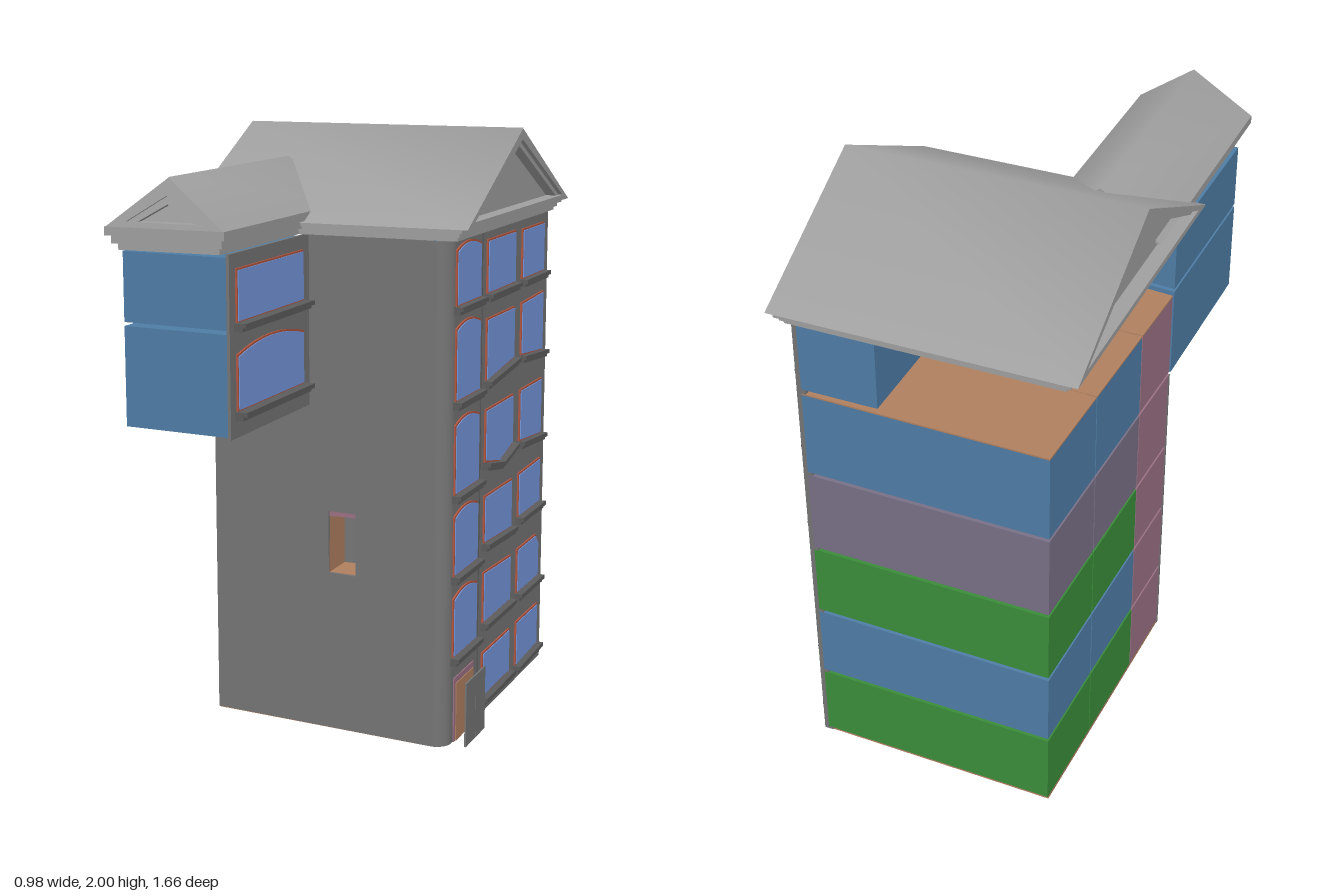
import * as THREE from 'three';

const mat = (name, color, side = THREE.FrontSide) => {
  const m = new THREE.MeshStandardMaterial({ color, side });
  m.name = name;
  return m;
};

export function createModel() {
  const M = {
    wall: mat('wallGrey', 0x757575),
    roof: mat('roofGrey', 0x9f9f9f),
    sill: mat('sillGrey', 0x5c5c5c),
    glass: mat('windowBlue', 0x7497dc),
    trim: mat('trimRed', 0xb0553f),
    blue: mat('roomBlue', 0x4f7da6),
    green: mat('roomGreen', 0x3a8c3a),
    purple: mat('roomPurple', 0x787086),
    pink: mat('shaftPink', 0x9a7084),
    floor: mat('floorBrown', 0xb08060),
  };
  const model = new THREE.Group();
  model.name = 'building';

  const add = (name, geo, m, parent = model) => {
    const mesh = new THREE.Mesh(geo, m);
    mesh.name = name;
    parent.add(mesh);
    return mesh;
  };
  // box given by its limits on each axis
  const box = (name, m, x0, x1, y0, y1, z0, z1) => {
    const g = new THREE.BoxGeometry(x1 - x0, y1 - y0, z1 - z0);
    g.translate((x0 + x1) / 2, (y0 + y1) / 2, (z0 + z1) / 2);
    return add(name, g, m);
  };
  const polygon = (pts) => new THREE.Shape(pts.map((p) => new THREE.Vector2(p[0], p[1])));
  const extrude = (shape, depth) => new THREE.ExtrudeGeometry(shape, { depth, bevelEnabled: false });
  // upright block on a plan of (x, z) corners
  const block = (name, m, plan, y0, y1) =>
    add(name, extrude(polygon(plan.map(([x, z]) => [x, -z])), y1 - y0).rotateX(-Math.PI / 2).translate(0, y0, 0), m);
  // outline in (u, y) with u = -z, pushed out along +x from x0
  const sidePlate = (name, m, pts, x0, depth) =>
    add(name, extrude(polygon(pts), depth).rotateY(Math.PI / 2).translate(x0, 0, 0), m);

  // the plan is slightly askew: front wall line and left wall line
  const frontZ = (x) => 0.24 + (x - 0.38) * 0.1;
  const leftX = (z) => -0.395 - 0.0366 * (z + 0.795);

  // ---- storeys: stacked room blocks around a floor-coloured core ----
  const levels = [
    [0.03, 0.285, M.green], [0.297, 0.552, M.blue], [0.564, 0.815, M.green],
    [0.827, 1.115, M.purple], [1.127, 1.42, M.blue],
  ];
  const shaftFront = (x) => frontZ(x) - 0.004;
  const plans = {
    rear: [[leftX(-0.795), -0.795], [0.415, -0.785], [0.415, -0.459], [leftX(-0.459), -0.459]],
    middle: [[leftX(-0.454), -0.454], [0.4, -0.454], [0.4, -0.102], [leftX(-0.102), -0.102]],
    shaftLeft: [[leftX(-0.097), -0.097], [-0.006, -0.097], [-0.006, shaftFront(-0.006)], [-0.43, shaftFront(-0.43)]],
    shaftRight: [[0.106, -0.097], [0.4, -0.097], [0.4, 0.18], [0.37, shaftFront(0.37)], [0.106, shaftFront(0.106)]],
  };
  for (const [y0, y1, m] of levels) {
    block('rearRoom', m, plans.rear, y0, y1);
    block('middleRoom', m, plans.middle, y0, y1);
    block('stairShaft', M.pink, plans.shaftLeft, y0, y1);
    block('stairShaft', M.pink, plans.shaftRight, y0, y1);
  }
  for (const plan of Object.values(plans)) block('topFloor', M.floor, plan, 1.42, 1.425);
  box('floorCore', M.floor, -0.375, 0.39, 0.03, 1.423, -0.765, 0.06);
  block('groundSlab', M.floor, [[leftX(-0.79), -0.79], [0.42, -0.78], [0.42, 0.19], [0.37, 0.235], [-0.43, frontZ(-0.43)]], 0.018, 0.03);
  box('topRoom', M.blue, 0.16, 0.415, 1.44, 1.68, -0.785, -0.06);

  // ---- front wall, stepped down below the wing, with a small deep opening ----
  const front = polygon([[-0.432, 0.02], [0.38, 0.02], [0.38, 1.68], [-0.075, 1.68], [-0.075, 1.115], [-0.432, 1.115]]);
  front.holes.push(polygon([[0, 0.56], [0, 0.77], [0.1, 0.77], [0.1, 0.56]]));
  const frontGeo = extrude(front, 0.01).translate(0, 0, -0.01);
  const fp = frontGeo.attributes.position;
  for (let i = 0; i < fp.count; i++) fp.setZ(i, fp.getZ(i) + frontZ(fp.getX(i)));
  frontGeo.computeVertexNormals();
  add('frontWall', frontGeo, M.wall);
  box('openingBack', M.wall, -0.006, 0.106, 0.55, 0.78, 0.06, 0.066);
  for (const x of [-0.006, 0.1]) box('openingLining', M.floor, x, x + 0.006, 0.56, 0.77, 0.06, 0.195);
  box('openingSill', M.floor, 0, 0.1, 0.554, 0.56, 0.06, 0.195);
  box('openingLintel', M.pink, 0, 0.1, 0.752, 0.776, 0.17, 0.196);
  add('roundedCorner', new THREE.CylinderGeometry(0.05, 0.05, 1.66, 12, 1, false, 0, Math.PI / 2)
    .translate(0.38, 0.85, 0.19), M.wall);
  box('facadeWall', M.wall, 0.4, 0.43, 0.02, 1.68, -0.785, 0.19);
  box('facadePilaster', M.sill, 0.43, 0.434, 0.02, 1.68, -0.06, -0.054);

  // ---- windows: red frame, glass and a sill following the lower edge ----
  // u0,u1: sides; tl,tr: top corners; bl,br: bottom corners; arch and vee: mid offsets
  const outline = (w, inset) => {
    const { u0, u1, tl, tr, bl, br, arch = 0, vee = 0, cut = 0 } = w;
    const bottom = [[u0 + inset, bl + inset], [(u0 + u1) / 2, (bl + br) / 2 - vee + inset], [u1 - inset, br + inset]];
    const top = [];
    for (let i = 0; i <= 8; i++) {
      const t = i / 8;
      const lift = arch * (1 - (2 * t - 1) ** 2);
      const y = tr + (tl - tr) * t + lift - (i === 0 ? cut : 0);
      top.push([u1 - inset + (u0 - u1 + 2 * inset) * t, y - inset]);
    }
    return { bottom, all: [...bottom, ...top] };
  };
  const addWindow = (w, x, reach) => {
    const { bottom, all } = outline(w, 0);
    sidePlate('windowFrame', M.trim, all, x, 0.006);
    sidePlate('windowGlass', M.glass, outline(w, 0.006).all, x + 0.003, 0.006);
    const e = 0.01;
    const upper = bottom.map(([u, y], i) => [u + (i - 1) * e, y + 0.002]);
    const lower = upper.map(([u, y]) => [u, y - 0.014]);
    const base = upper.map(([u, y]) => [u, y - 0.026]);
    sidePlate('windowSill', M.sill, [...lower, ...upper.slice().reverse()], x, reach);
    sidePlate('sillMoulding', M.sill, [...base, ...lower.slice().reverse()], x, reach * 0.7);
  };
  const column = (u0, u1, rows) => {
    for (const [tl, tr, bl, br, extra] of rows) addWindow({ u0, u1, tl, tr, bl, br, ...extra }, 0.43, 0.03);
  };
  const arched = { arch: 0.02 };
  column(-0.195, 0.037, [
    [1.65, 1.65, 1.47, 1.47, arched], [1.4, 1.4, 1.165, 1.165, arched],
    [1.09, 1.09, 0.86, 0.86, arched], [0.79, 0.79, 0.59, 0.59, arched],
    [0.515, 0.515, 0.315, 0.315, arched],
  ]);
  column(0.105, 0.4, [
    [1.65, 1.65, 1.47, 1.47], [1.39, 1.39, 1.18, 1.21],
    [1.085, 1.085, 0.905, 0.91, { vee: 0.03 }], [0.79, 0.785, 0.625, 0.61],
    [0.525, 0.51, 0.345, 0.345], [0.24, 0.24, 0.08, 0.08],
  ]);
  column(0.477, 0.727, [
    [1.645, 1.645, 1.47, 1.47], [1.39, 1.4, 1.205, 1.185],
    [1.085, 1.085, 0.9, 0.88], [0.785, 0.79, 0.625, 0.625],
    [0.51, 0.51, 0.345, 0.345, { cut: 0.035 }], [0.24, 0.24, 0.075, 0.085],
  ]);

  // ---- entrance: surround, opening and two standing door leaves ----
  box('doorSurround', M.pink, 0.425, 0.434, 0.02, 0.24, -0.02, 0.175);
  box('doorOpening', M.floor, 0.43, 0.437, 0.02, 0.22, -0.01, 0.16);
  for (const z of [0.06, -0.037]) {
    box('doorLeaf', M.wall, 0.464, 0.47, 0, 0.22, z, z + 0.095);
  }

  // ---- projecting upper wing ----
  const wingPlan = [[-0.435, 0.155], [-0.08, 0.19], [-0.08, 0.778], [-0.443, 0.745]];
  block('wingLowerRoom', M.blue, wingPlan, 1.127, 1.44);
  block('wingUpperRoom', M.blue, wingPlan, 1.452, 1.67);
  box('wingSideWall', M.wall, -0.08, -0.07, 1.12, 1.68, 0.19, 0.78);
  addWindow({ u0: -0.74, u1: -0.25, tl: 1.635, tr: 1.635, bl: 1.47, br: 1.47 }, -0.07, 0.04);
  addWindow({ u0: -0.74, u1: -0.25, tl: 1.375, tr: 1.375, bl: 1.2, br: 1.2, arch: 0.03 }, -0.07, 0.04);

  // ---- roofs: hollow gabled shell, raking moulding, set-back pediment, smooth covering ----
  const triangle = (half, y0, y1) => [[-half, y0], [half, y0], [0, y1]];
  const gableRoof = (name, half, y0, y1, length, setBack, rim) => {
    const group = new THREE.Group();
    group.name = name;
    const k = (y1 - y0) / half;
    const ring = (inset, hole) => {
      const at = (d) => triangle(half - d * 2.2, y0 + (d > 0.03 ? 0.018 : 0), y1 - d * 2.2 * k);
      const s = polygon(at(inset));
      s.holes.push(polygon(at(hole).reverse()));
      return s;
    };
    add('roofShell', extrude(ring(0, rim), length).translate(0, 0, -length / 2), M.roof, group);
    const inner = length - setBack * 0.6;
    add('rakingMoulding', extrude(ring(rim, rim * 1.5), inner).translate(0, 0, -inner / 2), M.roof, group);
    const core = length - setBack * 2;
    add('pediment', extrude(polygon(triangle(half - 0.03, y0 + 0.003, y1 - 0.02)), core)
      .translate(0, 0, -core / 2), M.roof, group);
    // two slopes sharing the ridge, so the shading runs softly across it
    const cover = new THREE.PlaneGeometry(half * 2, length, 2, 1).rotateX(-Math.PI / 2);
    const p = cover.attributes.position;
    for (let i = 0; i < p.count; i++) p.setY(i, y1 + 0.002 - Math.abs(p.getX(i)) * k);
    add('roofCovering', cover, M.roof, group);
    model.add(group);
    return group;
  };
  const mainRoof = gableRoof('mainRoof', 0.543, 1.72, 1.998, 0.98, 0.05, 0.032);
  mainRoof.rotation.y = Math.PI / 2;
  mainRoof.position.z = -0.285;

  const wingRoof = gableRoof('wingRoof', 0.197, 1.75, 1.9, 0.9, 0.04, 0.031);
  wingRoof.position.set(-0.258, 0, 0.38);
  // lean the front gable back slightly
  for (const mesh of wingRoof.children) {
    const p = mesh.geometry.attributes.position;
    for (let i = 0; i < p.count; i++) {
      if (p.getZ(i) > 0) p.setZ(i, p.getZ(i) - (p.getY(i) - 1.75) * 0.25);
    }
  }
  for (const roof of [mainRoof, wingRoof]) {
    for (const mesh of roof.children) mesh.geometry.computeVertexNormals();
  }

  // stepped cornices under both roofs
  [[0.03, 1.68, 1.693], [0.02, 1.693, 1.707], [0.008, 1.707, 1.722]].forEach(([d, y0, y1]) => {
    box('mainCornice', M.roof, -0.475 + d, 0.475 - d, y0, y1, -0.83 + d, 0.256 - d);
  });
  [[0.03, 1.68, 1.70], [0.015, 1.70, 1.725], [0, 1.725, 1.752]].forEach(([d, y0, y1]) => {
    box('wingCornice', M.roof, -0.457 + d, -0.06 - d, y0, y1, 0.2, 0.83 - d);
  });
  return model;
}
